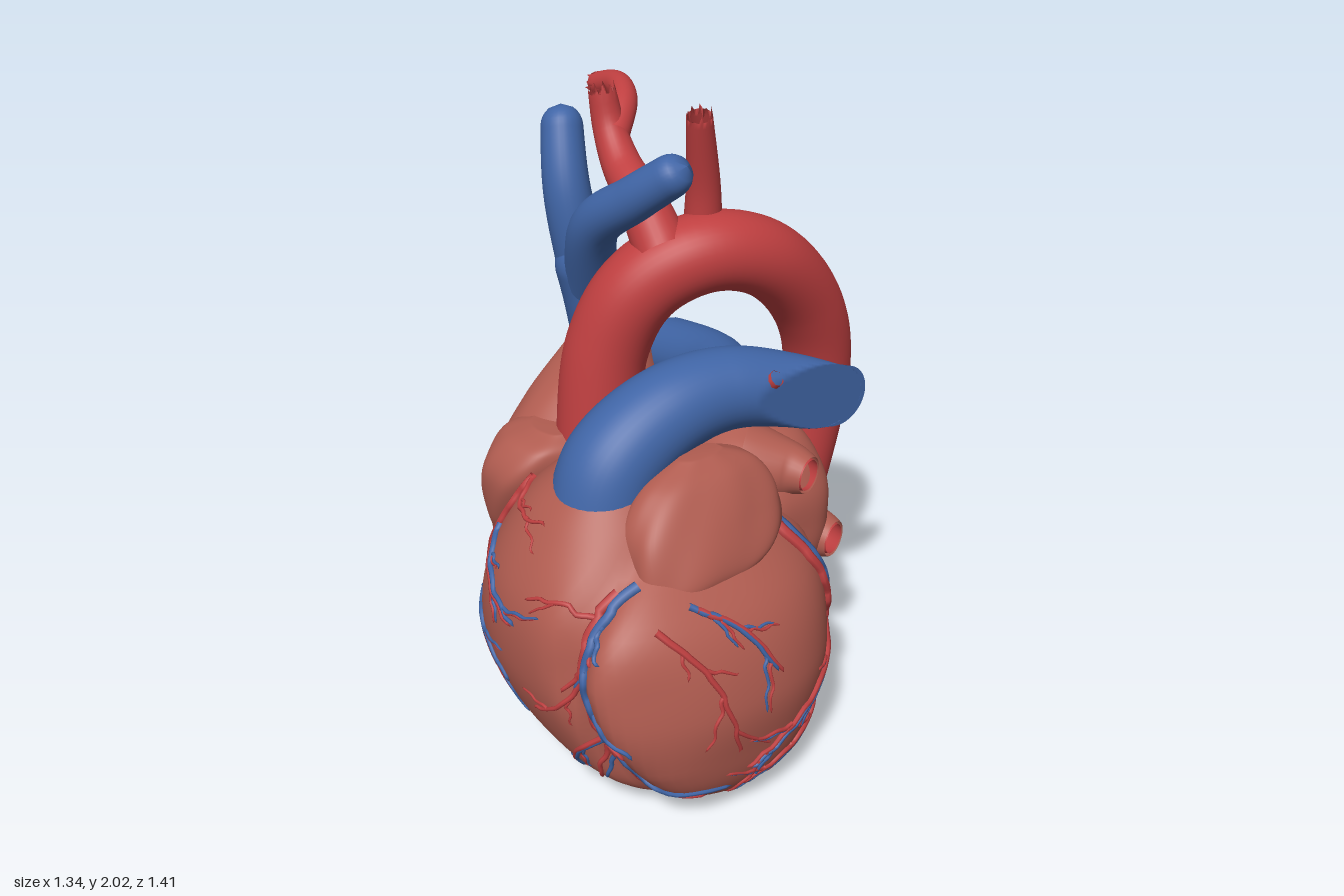
import * as THREE from 'three';
import { mergeVertices } from 'three/addons/utils/BufferGeometryUtils.js';

const V = (p) => new THREE.Vector3(...p);
const paint = (color) => new THREE.MeshStandardMaterial({ color, side: THREE.DoubleSide });

export function createModel() {
  const model = new THREE.Group();
  const muscle = paint(0xb05c50), red = paint(0xbf3f40), blue = paint(0x4065a6);

  const add = (name, geometry, material, parent = model) => {
    const mesh = new THREE.Mesh(geometry, material);
    mesh.name = name;
    parent.add(mesh);
    return mesh;
  };

  // Closed body from horizontal slices [y, x0, x1, z0, z1], each a superellipse
  function loft(slices, lump, { power = 0.87, mod = () => {} } = {}) {
    const xs = new THREE.CatmullRomCurve3(slices.map((s) => V([s[1], s[0], s[2]])), false, 'catmullrom');
    const zs = new THREE.CatmullRomCurve3(slices.map((s) => V([s[3], s[0], s[4]])), false, 'catmullrom');
    const seg = 80, rows = 56, pos = [], idx = [], p = new THREE.Vector3();
    const bulge = (v) => Math.sign(v) * Math.abs(v) ** power;
    for (let i = 0; i <= rows; i++) {
      const a = xs.getPoint(i / rows), b = zs.getPoint(i / rows);
      for (let j = 0; j < seg; j++) {
        const t = (j / seg) * Math.PI * 2;
        const k = 1 + lump * Math.sin(13 * a.y + 2 * t) * Math.sin(5 * t + 4 * a.y);
        p.set((a.x + a.z) / 2 + k * bulge(Math.cos(t)) * (a.z - a.x) / 2, a.y,
          (b.x + b.z) / 2 + k * bulge(Math.sin(t)) * (b.z - b.x) / 2);
        mod(p);
        pos.push(p.x, p.y, p.z);
        const q = i * seg + j, r = i * seg + (j + 1) % seg;
        if (i < rows) idx.push(q, q + seg, r, r, q + seg, r + seg);
      }
    }
    // End caps
    [0, rows].forEach((row) => {
      const a = xs.getPoint(row / rows), b = zs.getPoint(row / rows), c = pos.length / 3;
      pos.push((a.x + a.z) / 2, a.y, (b.x + b.z) / 2);
      for (let j = 0; j < seg; j++) {
        const q = row * seg + j, r = row * seg + (j + 1) % seg;
        if (row) idx.push(c, r, q); else idx.push(c, q, r);
      }
    });
    const g = new THREE.BufferGeometry();
    g.setAttribute('position', new THREE.Float32BufferAttribute(pos, 3));
    g.setIndex(idx);
    g.computeVertexNormals();
    return g;
  }

  // Tube tapering from r0 to r1; the end may be rounded shut, torn, or cut by mod
  function tube(points, r0, r1, { n = 48, m = 28, round = false, torn = 0, mod = () => {} } = {}) {
    const curve = new THREE.CatmullRomCurve3(points);
    const g = new THREE.TubeGeometry(curve, n, 1, m), pos = g.attributes.position;
    const length = curve.getLength(), p = new THREE.Vector3();
    for (let i = 0; i <= n; i++) {
      const t = i / n, c = curve.getPointAt(t), dir = curve.getTangentAt(t);
      let r = THREE.MathUtils.lerp(r0, r1, t);
      const s = 1 - (1 - t) * length / r;
      if (round && s > 0) r *= Math.sqrt(Math.max(0, 1 - s * s)) + 1e-4;
      for (let j = 0; j <= m; j++) {
        const v = i * (m + 1) + j;
        p.fromBufferAttribute(pos, v).sub(c).multiplyScalar(r).add(c);
        if (i === n) p.addScaledVector(dir, -torn * (0.5 + 0.5 * Math.sin((j % m) * 2.4)));
        mod(p);
        pos.setXYZ(v, p.x, p.y, p.z);
      }
    }
    g.deleteAttribute('uv');
    g.deleteAttribute('normal');
    const out = mergeVertices(g, 1e-5);
    out.computeVertexNormals();
    return out;
  }

  // Ventricles: a groove on the front parts them, with the left one swelling beside it
  const ventricles = add('ventricles', loft([
    [0, 0.27, 0.43, 0, 0.2], [0.03, 0.1, 0.54, -0.09, 0.38], [0.12, -0.17, 0.61, -0.2, 0.55],
    [0.25, -0.38, 0.645, -0.28, 0.64], [0.45, -0.43, 0.66, -0.32, 0.695], [0.68, -0.35, 0.575, -0.29, 0.68],
    [0.88, -0.22, 0.35, -0.12, 0.57], [1.01, -0.08, 0.22, 0.12, 0.46]], 0, { mod: (p) => {
    const d = p.x - 0.36 - 0.3 * Math.max(0, 0.55 - p.y);
    const swell = 0.06 * Math.exp(-(((d - 0.14) / 0.09) ** 2)) * Math.min(1, p.y * 4);
    p.z += THREE.MathUtils.smoothstep(p.z, 0.15, 0.4) * (swell - 0.045 * Math.exp(-((d / 0.05) ** 2)));
  } }), muscle);

  // Right atrium running down into the lower great vein, and its ear-like flap
  const rightAtrium = add('rightAtrium', loft([
    [0.1, -0.51, -0.24, -0.13, 0.12], [0.24, -0.52, -0.2, -0.16, 0.22], [0.38, -0.565, -0.16, -0.21, 0.37],
    [0.6, -0.6, -0.07, -0.26, 0.46], [0.84, -0.57, -0.05, -0.24, 0.45], [1, -0.53, -0.18, -0.18, 0.33],
    [1.15, -0.515, -0.26, -0.13, 0.14]], 0.02), muscle);
  add('rightAuricle', loft([
    [0.55, -0.42, -0.34, 0.34, 0.44], [0.7, -0.44, -0.23, 0.24, 0.5], [0.86, -0.43, -0.155, 0.18, 0.52],
    [0.96, -0.42, -0.13, 0.15, 0.46], [1.005, -0.34, -0.17, 0.2, 0.36]], 0.03), muscle);

  // Left atrium: a boxy ball at the back
  const leftAtrium = add('leftAtrium', loft([-0.98, -0.8, -0.4, 0, 0.4, 0.8, 0.98].map((u) => {
    const f = (1 - Math.abs(u) ** 2.6) ** 0.4;
    return [0.68 + 0.32 * u, -0.05 - 0.36 * f, -0.05 + 0.36 * f, -0.22 - 0.255 * f, -0.22 + 0.2 * f];
  }), 0.01, { power: 0.7 }), muscle);

  add('leftAuricle', loft([
    [0.71, 0.39, 0.465, 0.2, 0.4], [0.79, 0.23, 0.48, -0.08, 0.43], [0.91, 0.18, 0.425, -0.12, 0.41],
    [1.01, 0.17, 0.355, -0.07, 0.32], [1.065, 0.21, 0.28, 0.04, 0.18]], 0.04), muscle);

  // Lung veins: flared stubs with a red lining
  [[-0.48, 0.82, -0.28], [-0.48, 0.62, -0.42], [0.31, 0.88, -0.27], [0.3, 0.59, -0.4]].forEach(([x, y, z]) => {
    const path = [V([x * 0.45, y, z + 0.1]), V([x * 0.8, y, z + 0.02]), V([x, y, z])];
    add('lungVein', tube(path, 0.14, 0.06), muscle);
    add('lungVeinLining', tube(path, 0.1, 0.05), red);
  });

  // Aorta with torn lower end, and the arteries leaving its arch
  add('aorta', tube([[-0.17, 0.85, 0.2], [-0.165, 1.27, 0.15], [-0.1, 1.47, 0.06], [-0.02, 1.555, -0.1],
    [0.02, 1.51, -0.29], [0, 1.3, -0.5], [-0.03, 1.03, -0.59], [-0.07, 0.34, -0.49]].map(V),
  0.135, 0.102, { n: 90, m: 40, torn: 0.1 }), red);
  const arteries = new THREE.Group();
  arteries.name = 'archArteries';
  model.add(arteries);
  [['rightTrunk', [[-0.06, 1.58, 0.02], [-0.16, 1.7, 0.02], [-0.29, 1.77, 0], [-0.37, 1.87, -0.01], [-0.395, 2, 0]], 0.085, 0.04],
    ['rightArmArtery', [[-0.34, 1.85, -0.01], [-0.42, 1.92, -0.1], [-0.53, 1.94, -0.15], [-0.66, 1.91, -0.15]], 0.045, 0.037],
    ['leftNeckArtery', [[-0.06, 1.6, -0.13], [-0.045, 1.75, -0.12], [0.005, 2, -0.065]], 0.06, 0.037],
  ].forEach(([name, path, r0, r1]) => add(name, tube(path.map(V), r0, r1, { n: 20, torn: 0.06 }), red, arteries));

  // Upper great vein and its two branches
  [['upperGreatVein', [[-0.385, 1.1, 0], [-0.385, 1.35, 0.05], [-0.385, 1.54, 0.1]], 0.108, 0.1],
    ['rightBranchVein', [[-0.4, 1.36, 0.06], [-0.43, 1.68, 0.11], [-0.51, 1.92, 0.07]], 0.088, 0.062],
    ['leftBranchVein', [[-0.37, 1.38, 0.07], [-0.23, 1.63, 0.14], [-0.06, 1.76, 0.11], [0.09, 1.88, 0.04]], 0.085, 0.06],
  ].forEach(([name, path, r0, r1]) => add(name, tube(path.map(V), r0, r1, { round: true }), blue));

  // Lung artery trunk and its right branch, both cut off flat
  add('lungArteryTrunk', tube([[0.09, 0.86, 0.36], [0.09, 1.02, 0.31], [0.105, 1.14, 0.14], [0.135, 1.175, -0.06],
    [0.21, 1.14, -0.26], [0.4, 1.07, -0.5]].map(V), 0.165, 0.095,
  { n: 90, m: 40, round: true, mod: (p) => { p.x = Math.min(p.x, 0.272); } }), blue);
  add('rightLungArtery', tube([[0.14, 1.17, -0.06], [-0.05, 1.14, -0.17], [-0.5, 1.05, -0.21]].map(V),
    0.11, 0.11, { round: true, mod: (p) => { p.x = Math.max(p.x, -0.34); } }), blue);
  add('ductRemnant', tube([V([0.23, 1.2, -0.15]), V([0.27, 1.235, -0.16])], 0.03, 0.025, { n: 4, m: 8 }), red);

  // Surface vessels: flat paths dropped onto the muscle from one direction, with side twigs
  model.updateMatrixWorld(true);
  const caster = new THREE.Raycaster();
  const casts = {
    front: [(a, b) => V([a, b, 3]), V([0, 0, -1])],
    side: [(a, b) => V([3, b, a]), V([-1, 0, 0])],
    below: [(a, b) => V([a, -3, b]), V([0, 1, 0])],
  };
  const vessels = new THREE.Group();
  vessels.name = 'surfaceVessels';
  model.add(vessels);
  function vessel(view, flat, material, r, twigs) {
    const line = new THREE.SplineCurve(flat);
    const [from, dir] = casts[view], path = [], steps = Math.max(6, Math.ceil(line.getLength() / 0.03));
    for (let i = 0; i <= steps; i++) {
      const q = line.getPoint(i / steps), wob = 0.006 * Math.sin(i * 2.1 + flat[0].x * 20);
      caster.set(from(q.x + wob, q.y + wob), dir);
      const hit = caster.intersectObjects([ventricles, rightAtrium, leftAtrium], false)[0];
      if (hit) path.push(hit.point.addScaledVector(hit.face.normal, r * 0.3));
    }
    if (path.length < 3) return;
    add(material === red ? 'coronaryArtery' : 'coronaryVein',
      tube(path, r, r * 0.5, { n: steps * 2, m: 7, round: true }), material, vessels);
    for (let k = 1; k <= twigs; k++) {
      const q = line.getPoint(k / (twigs + 1)), d = line.getTangent(k / (twigs + 1));
      const side = new THREE.Vector2(-d.y, d.x).multiplyScalar(k % 2 ? 1 : -1), l = 0.11 + 0.04 * Math.sin(k * 5);
      const at = (f, g) => q.clone().addScaledVector(d, l * f).addScaledVector(side, l * g);
      vessel(view, [q, at(0.5, 0.35), at(1.1, 0.8)], material, r * 0.6, 0);
    }
  }
  // Colours: r, b, or both side by side
  const run = (view, colours, r, twigs, ...path) => [...colours].forEach((c, i) => vessel(view,
    path.map(([a, b]) => new THREE.Vector2(a + i * r * 1.5, b + i * r * 0.9)), c === 'r' ? red : blue, r, twigs));
  run('front', 'r', 0.016, 0, [-0.13, 0.92], [-0.23, 0.69], [-0.42, 0.38]);
  run('front', 'r', 0.01, 2, [-0.13, 0.92], [-0.05, 0.88], [0.1, 0.9]);
  run('front', 'rb', 0.012, 3, [-0.2, 0.75], [-0.06, 0.66], [0.1, 0.6]);
  run('front', 'rb', 0.012, 4, [-0.38, 0.46], [-0.2, 0.45], [0.02, 0.34]);
  run('front', 'rb', 0.014, 4, [-0.41, 0.35], [-0.25, 0.2], [0.15, 0.1]);
  run('front', 'rb', 0.018, 5, [0.36, 0.78], [0.39, 0.46], [0.5, 0.1]);
  run('front', 'r', 0.01, 2, [0.38, 0.55], [0.3, 0.42], [0.18, 0.35]);
  run('front', 'rb', 0.01, 2, [0.41, 0.34], [0.3, 0.22], [0.24, 0.09]);
  run('front', 'r', 0.01, 1, [0.36, 0.72], [0.26, 0.75], [0.15, 0.72]);
  run('side', 'r', 0.012, 4, [0.46, 0.72], [0.34, 0.56], [0.26, 0.28]);
  run('side', 'rb', 0.011, 3, [0.32, 0.74], [0.2, 0.66], [0.1, 0.5]);
  run('side', 'br', 0.021, 0, [-0.08, 0.83], [-0.22, 0.62], [-0.3, 0.36]);
  run('side', 'br', 0.013, 4, [-0.28, 0.4], [-0.02, 0.29], [0.2, 0.18]);
  run('side', 'br', 0.012, 3, [-0.2, 0.2], [0, 0.15], [0.2, 0.1]);
  run('below', 'br', 0.015, 4, [-0.2, -0.1], [0.1, 0.02], [0.42, 0.14]);

  return model;
}
